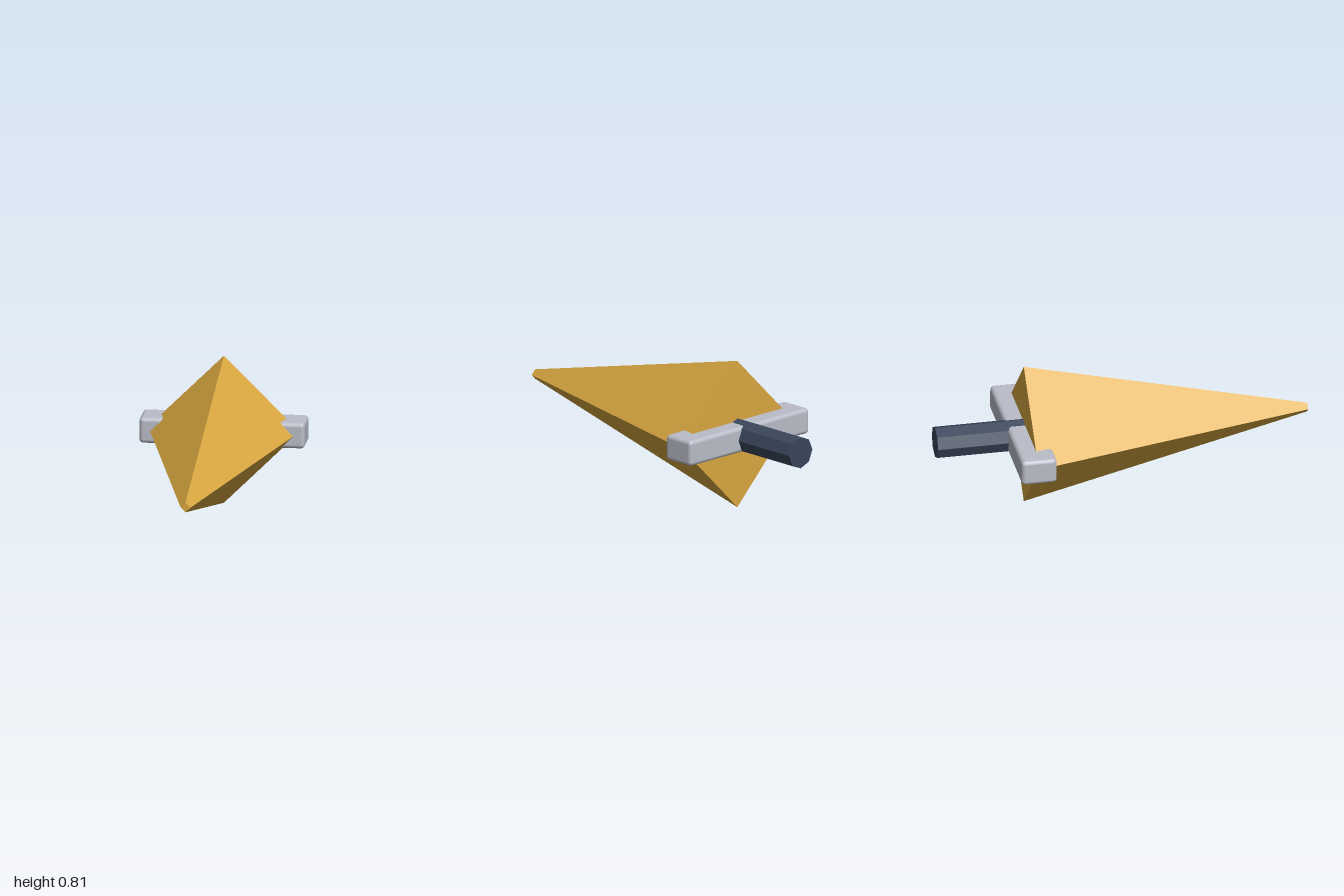
import * as THREE from 'three';
import { RoundedBoxGeometry } from 'three/addons/geometries/RoundedBoxGeometry.js';

const AXIS_Y = 0.403; // height of the central axis

function material(name, color, flatShading = false) {
  const m = new THREE.MeshStandardMaterial({ color, flatShading });
  m.name = name;
  return m;
}

// Tapered prism along z, with its corners on the x and y axes
function prism(name, frontRadius, backRadius, zBack, zFront, sides, mat) {
  const geometry = new THREE.CylinderGeometry(frontRadius, backRadius, zFront - zBack, sides);
  geometry.rotateX(Math.PI / 2);
  const mesh = new THREE.Mesh(geometry, mat);
  mesh.name = name;
  mesh.position.set(0, AXIS_Y, (zBack + zFront) / 2);
  return mesh;
}

export function createModel() {
  const group = new THREE.Group();
  group.name = 'dagger';

  const gold = material('gold', 0xd9a840, true);
  const steel = material('steel', 0xbabcc8);
  const navy = material('dark blue', 0x3a465b, true);

  // Four-sided blade with a small blunt tip
  group.add(prism('blade', 0.026, 0.403, -0.523, 1, 4, gold));

  // Octagonal handle
  group.add(prism('handle', 0.086, 0.086, -1, -0.5, 8, navy));

  // Crossguard with softened edges
  const guard = new THREE.Mesh(new RoundedBoxGeometry(0.88, 0.14, 0.19, 2, 0.022), steel);
  guard.name = 'crossguard';
  guard.position.set(0, AXIS_Y + 0.001, -0.525);
  group.add(guard);

  return group;
}
